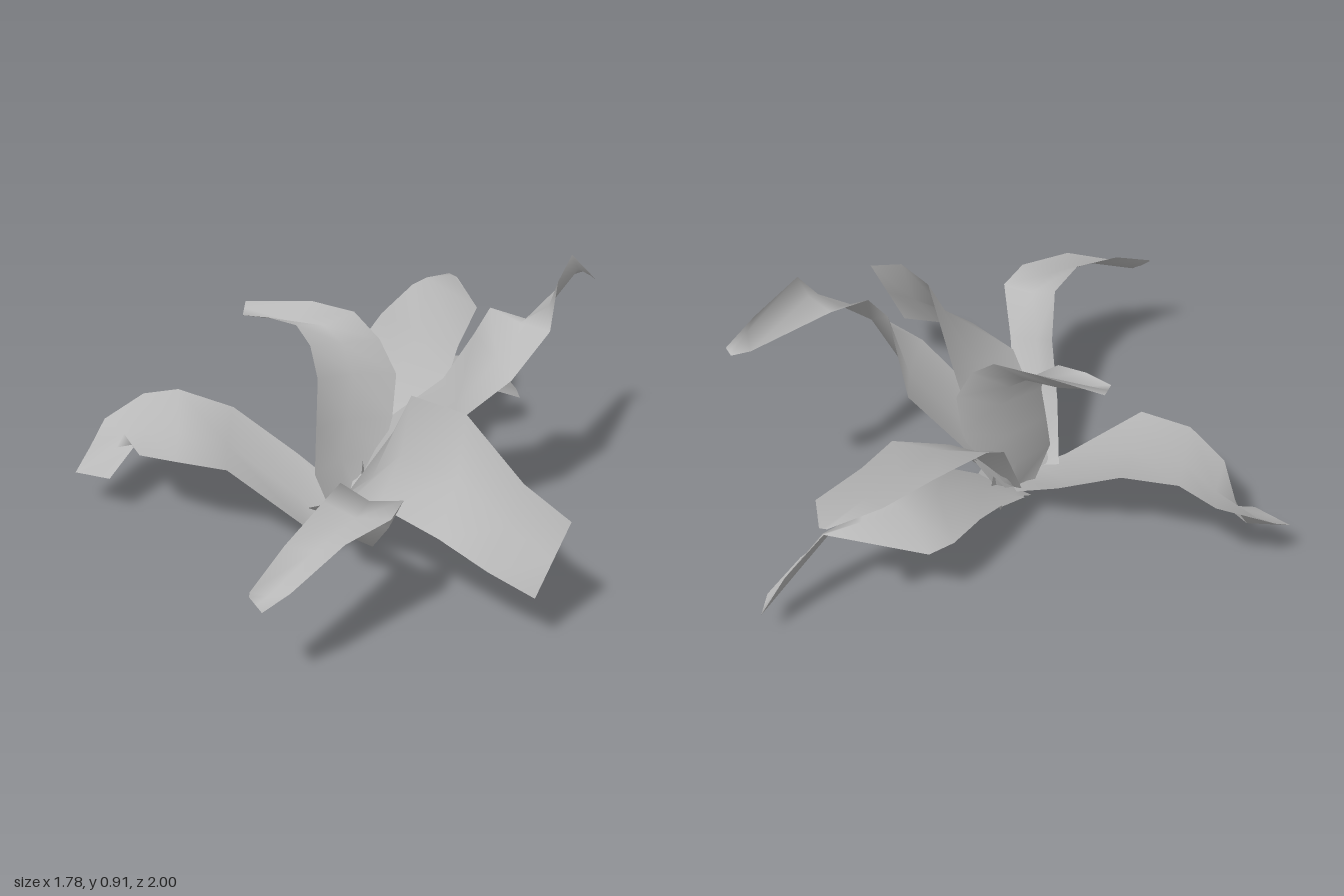
import * as THREE from 'three';

// Each leaf: rows of [edge A, edge B, optional midpoint] from base to tip, plus the depth of its central fold.
const leaves = {
  leftLeaf: { fold: 0.03, rows: [
    [[0.08, 0.1, -0.12], [0.05, 0.07, 0.08]],
    [[-0.12, 0.22, -0.2], [-0.06, 0.12, 0.12]],
    [[-0.35, 0.36, -0.26], [-0.32, 0.34, 0.14]],
    [[-0.55, 0.4, -0.3], [-0.5, 0.34, 0.1]],
    [[-0.68, 0.36, -0.33], [-0.64, 0.3, 0.0]],
    [[-0.81, 0.29, -0.26], [-0.69, 0.27, -0.12]],
    [[-0.85, 0.22, -0.18], [-0.68, 0.25, -0.17]],
    [[-0.89, 0.16, -0.1], [-0.76, 0.17, -0.05]]] },
  uprightLeaf: { fold: 0.05, rows: [
    [[0.01, 0.1, -0.03], [0.11, 0.1, -0.12]],
    [[-0.04, 0.25, -0.01], [0.18, 0.25, -0.17]],
    [[-0.04, 0.4, -0.06], [0.21, 0.38, -0.2]],
    [[-0.04, 0.56, -0.12], [0.22, 0.54, -0.22]],
    [[-0.07, 0.66, -0.17], [0.16, 0.66, -0.24]],
    [[-0.12, 0.72, -0.2], [0.07, 0.74, -0.28]],
    [[-0.22, 0.73, -0.23], [-0.08, 0.755, -0.32]],
    [[-0.31, 0.72, -0.26], [-0.31, 0.735, -0.34]]] },
  frontLeaf: { fold: 0.03, rows: [
    [[-0.06, 0.14, 0.03], [0.15, 0.08, 0.04]],
    [[0.0, 0.27, 0.22], [0.18, 0.17, 0.3]],
    [[0.06, 0.42, 0.36], [0.24, 0.34, 0.45]],
    [[0.09, 0.53, 0.5], [0.29, 0.5, 0.54]],
    [[0.05, 0.55, 0.65], [0.26, 0.51, 0.67]],
    [[-0.05, 0.5, 0.83], [0.13, 0.5, 0.81]],
    [[-0.14, 0.42, 0.97], [-0.02, 0.41, 0.95]],
    [[-0.14, 0.41, 0.98], [-0.1, 0.37, 1.0]]] },
  frontLeftLeaf: { fold: 0.03, rows: [
    [[0.1, 0.12, -0.06], [-0.03, 0.13, 0.05]],
    [[0.22, 0.38, -0.1], [0.05, 0.22, 0.18]],
    [[0.28, 0.54, -0.07], [0.2, 0.36, 0.35]],
    [[0.47, 0.65, 0.24], [0.4, 0.34, 0.5]],
    [[0.66, 0.55, 0.49], [0.56, 0.27, 0.57]],
    [[0.81, 0.47, 0.57], [0.71, 0.22, 0.63]]] },
  curlingLeaf: { fold: 0.03, rows: [
    [[0.07, 0.1, -0.12], [0.07, 0.1, 0.04]],
    [[0.2, 0.36, -0.24], [0.22, 0.34, 0.06]],
    [[0.38, 0.52, -0.24], [0.44, 0.53, 0.08]],
    [[0.48, 0.75, -0.13], [0.61, 0.66, 0.02]],
    [[0.53, 0.83, -0.17], [0.73, 0.78, -0.11]],
    [[0.65, 0.78, -0.2], [0.75, 0.91, -0.22]],
    [[0.8, 0.8, -0.51], [0.8, 0.9, -0.46]],
    [[0.85, 0.8, -0.55], [0.89, 0.79, -0.5]]] },
  upperBackLeaf: { fold: 0.01, rows: [
    [[0.03, 0.1, -0.1], [0.13, 0.1, -0.06]],
    [[0.03, 0.42, -0.31], [0.25, 0.34, -0.22]],
    [[0.05, 0.5, -0.43], [0.39, 0.44, -0.38]],
    [[0.14, 0.55, -0.66], [0.42, 0.47, -0.58]],
    [[0.24, 0.57, -0.87], [0.48, 0.51, -0.82], [0.29, 0.6, -0.87]],
    [[0.37, 0.56, -1.0], [0.4, 0.55, -0.99]]] },
  lowerBackLeaf: { fold: 0.02, rows: [
    [[0.0, 0.09, -0.1], [0.16, 0.1, -0.05]],
    [[0.02, 0.17, -0.22], [0.26, 0.24, -0.22]],
    [[0.07, 0.24, -0.45], [0.36, 0.42, -0.47], [0.21, 0.32, -0.46]],
    [[0.11, 0.25, -0.6], [0.41, 0.35, -0.55], [0.28, 0.35, -0.6]],
    [[0.16, 0.27, -0.7], [0.45, 0.29, -0.62], [0.38, 0.36, -0.71]],
    [[0.48, 0.34, -0.78], [0.51, 0.25, -0.68], [0.5, 0.31, -0.74]],
    [[0.58, 0.22, -0.88], [0.58, 0.2, -0.75]],
    [[0.64, 0.11, -0.95], [0.655, 0.12, -0.86]]] },
};

// Loft a three-column blade; without a given midpoint the middle sinks along the surface normal.
function leafGeometry({ rows, fold }) {
  const pos = [], idx = [];
  const v = (p) => new THREE.Vector3(...p);
  const centre = (r) => v(r[0]).add(v(r[1])).multiplyScalar(0.5);
  const last = rows.length - 1;
  rows.forEach((row, i) => {
    const a = v(row[0]), b = v(row[1]), mid = row[2] ? v(row[2]) : centre(row);
    if (!row[2] && i > 0 && i < last) {
      const along = centre(rows[i + 1]).sub(centre(rows[i - 1]));
      const n = b.clone().sub(a).cross(along).normalize();
      if (n.y > 0) n.negate();
      mid.addScaledVector(n, fold);
    }
    for (const p of [a, mid, b]) pos.push(p.x, p.y, p.z);
    if (i > 0) for (let c = 0; c < 2; c++) {
      const k = i * 3 + c;
      idx.push(k - 3, k - 2, k, k - 2, k + 1, k);
    }
  });
  const g = new THREE.BufferGeometry();
  g.setAttribute('position', new THREE.Float32BufferAttribute(pos, 3));
  g.setIndex(idx);
  g.computeVertexNormals();
  return g;
}

export function createModel() {
  const model = new THREE.Group();
  model.name = 'leafyPlant';
  const grey = new THREE.MeshStandardMaterial({ color: 0xb8b8b8, side: THREE.DoubleSide });
  grey.name = 'leafGrey';

  for (const [name, spec] of Object.entries(leaves)) {
    const leaf = new THREE.Mesh(leafGeometry(spec), grey);
    leaf.name = name;
    model.add(leaf);
  }

  // Small pointed sheaths crossing at the crown
  const sheath = new THREE.Shape([[0.01, 0], [0.09, 0.12], [0.03, 0.25], [-0.01, 0.13], [-0.08, 0.06]]
    .map(([x, y]) => new THREE.Vector2(x, y)));
  for (const turn of [0.1, 1.4]) {
    const blade = new THREE.Mesh(new THREE.ShapeGeometry(sheath), grey);
    blade.name = 'crownSheath';
    blade.position.set(0.11, 0, -0.09);
    blade.rotation.y = turn;
    model.add(blade);
  }
  return model;
}
